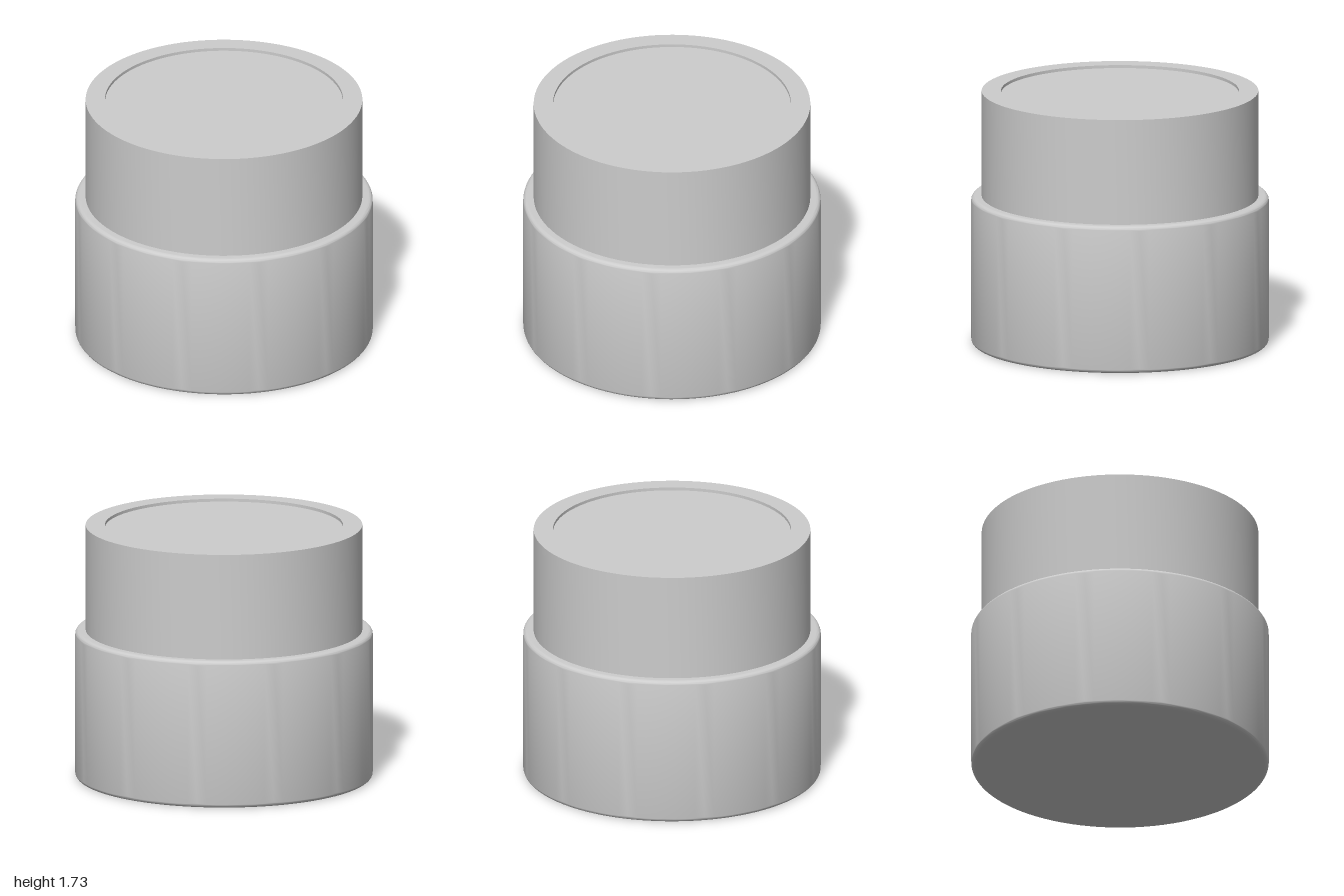
import * as THREE from 'three';
import { toCreasedNormals } from 'three/addons/utils/BufferGeometryUtils.js';

const SEGMENTS = 96;

// Points of a quarter-circle fillet
function fillet(cx, cy, r, from, steps = 8) {
  return Array.from({ length: steps + 1 }, (_, i) => {
    const a = from + (i / steps) * Math.PI / 2;
    return [cx + r * Math.cos(a), cy + r * Math.sin(a)];
  });
}

// Turned part, smooth around and sharp at corners of its profile
function turned(name, profile, material) {
  const points = profile.map(([x, y]) => new THREE.Vector2(x, y));
  const geometry = toCreasedNormals(new THREE.LatheGeometry(points, SEGMENTS), 0.5);
  const mesh = new THREE.Mesh(geometry, material);
  mesh.name = name;
  return mesh;
}

export function createModel() {
  const group = new THREE.Group();
  group.name = 'steppedCylinder';
  const grey = new THREE.MeshStandardMaterial({ color: 0xcccccc });
  grey.name = 'light grey';

  // Wide lower drum with rounded edges
  const r = 0.03;
  group.add(turned('base', [
    [0, 0],
    ...fillet(1 - r, r, r, -Math.PI / 2),
    ...fillet(1 - r, 1.01 - r, r, 0),
    [0.92, 1.01],
  ], grey));

  // Narrower upper drum with a rim around a shallow recess
  group.add(turned('upperDrum', [
    [0.93, 1.0], [0.93, 1.73], [0.8, 1.73], [0.8, 1.71],
  ], grey));

  // Floor of the recess
  const floor = new THREE.Mesh(new THREE.CircleGeometry(0.8, SEGMENTS), grey);
  floor.name = 'recessFloor';
  floor.rotation.x = -Math.PI / 2;
  floor.position.y = 1.71;
  group.add(floor);

  return group;
}
